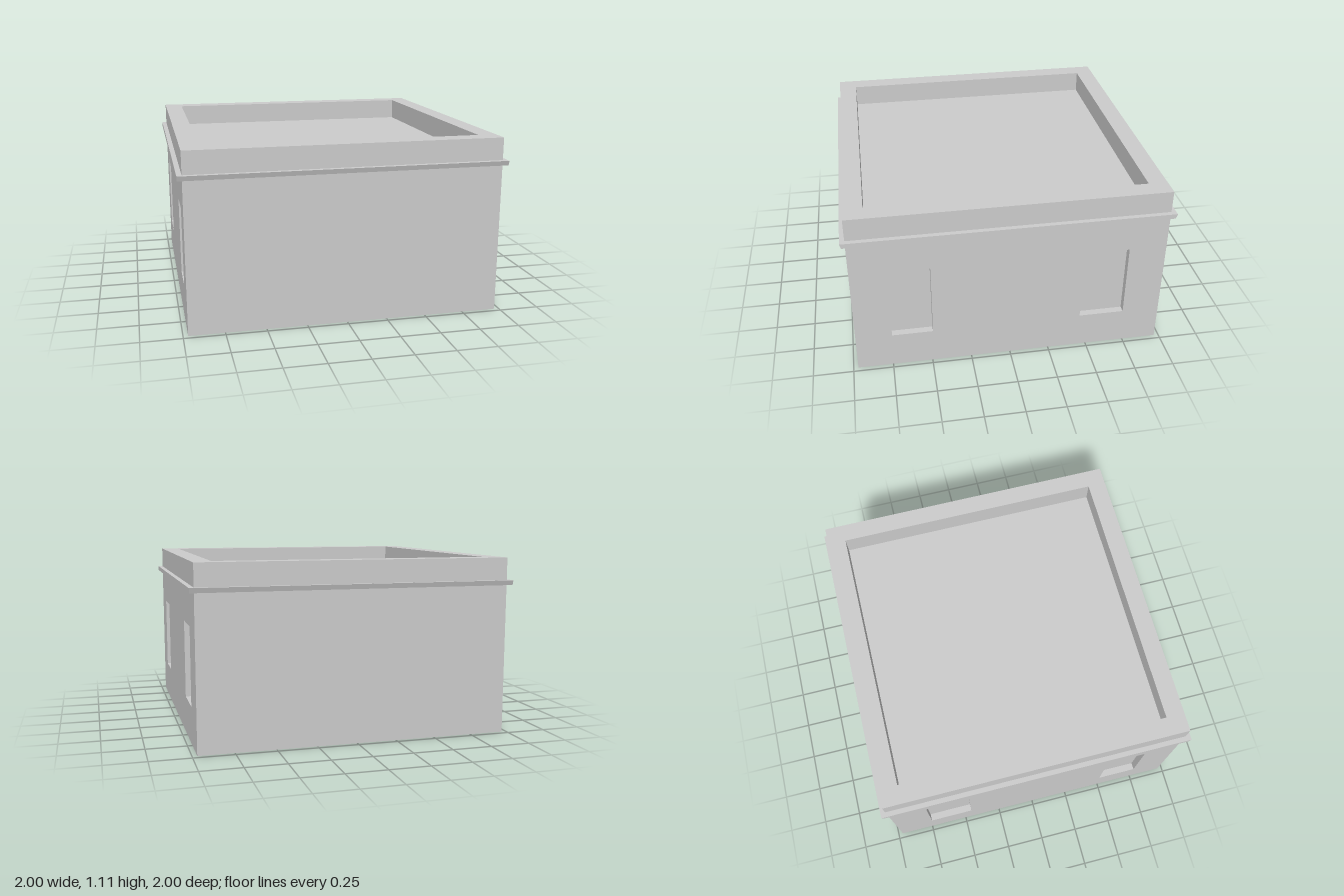
import * as THREE from 'three';

const material = new THREE.MeshStandardMaterial({ color: 0xcccccc, flatShading: true });
const HALF = 0.97;      // half width of the walls
const ROOF = 0.97;      // height of the roof deck
const TOP = 1.11;       // top of the parapet
const RECESS = 0.045;   // depth of the window niches

function add(group, name, geometry) {
  const mesh = new THREE.Mesh(geometry, material);
  mesh.name = name;
  group.add(mesh);
  return mesh;
}

function rect(Type, x0, y0, x1, y1) {
  const p = new Type();
  p.moveTo(x0, y0);
  p.lineTo(x1, y0);
  p.lineTo(x1, y1);
  p.lineTo(x0, y1);
  p.closePath();
  return p;
}

// Square ring lying flat, from height y0 to y1
function ring(outer, inner, y0, y1) {
  const shape = rect(THREE.Shape, -outer, -outer, outer, outer);
  shape.holes.push(rect(THREE.Path, -inner, -inner, inner, inner));
  return new THREE.ExtrudeGeometry(shape, { depth: y1 - y0, bevelEnabled: false })
    .rotateX(-Math.PI / 2)
    .translate(0, y0, 0);
}

export function createModel() {
  const group = new THREE.Group();
  group.name = 'flatRoofBuilding';

  // Main block, carrying the roof deck and the backs of the niches
  add(group, 'mainBlock', new THREE.BoxGeometry(2 * (HALF - RECESS), ROOF, 2 * HALF)
    .translate(0, ROOF / 2, 0));

  // Side walls pierced by two window niches each (shape x runs along -z)
  const wall = rect(THREE.Shape, -HALF, 0, HALF, ROOF);
  for (const [a, b] of [[-0.745, -0.49], [0.45, 0.735]]) {
    wall.holes.push(rect(THREE.Path, a, 0.235, b, 0.72));
  }
  const wallGeometry = new THREE.ExtrudeGeometry(wall, { depth: RECESS, bevelEnabled: false })
    .rotateY(Math.PI / 2);
  add(group, 'leftWall', wallGeometry).position.x = HALF - RECESS;
  add(group, 'rightWall', wallGeometry).position.x = -HALF;

  // Parapet around the roof deck
  add(group, 'parapet', ring(HALF, 0.853, ROOF, TOP));

  // Thin cornice, its front and back leaning out towards the top
  const cornice = ring(1, HALF, 0.94, ROOF);
  const pos = cornice.attributes.position;
  for (let i = 0; i < pos.count; i++) {
    const z = pos.getZ(i);
    if (pos.getY(i) < 0.95 && Math.abs(z) > 0.98) pos.setZ(i, Math.sign(z) * 0.99);
  }
  cornice.computeVertexNormals();
  add(group, 'cornice', cornice);

  return group;
}
